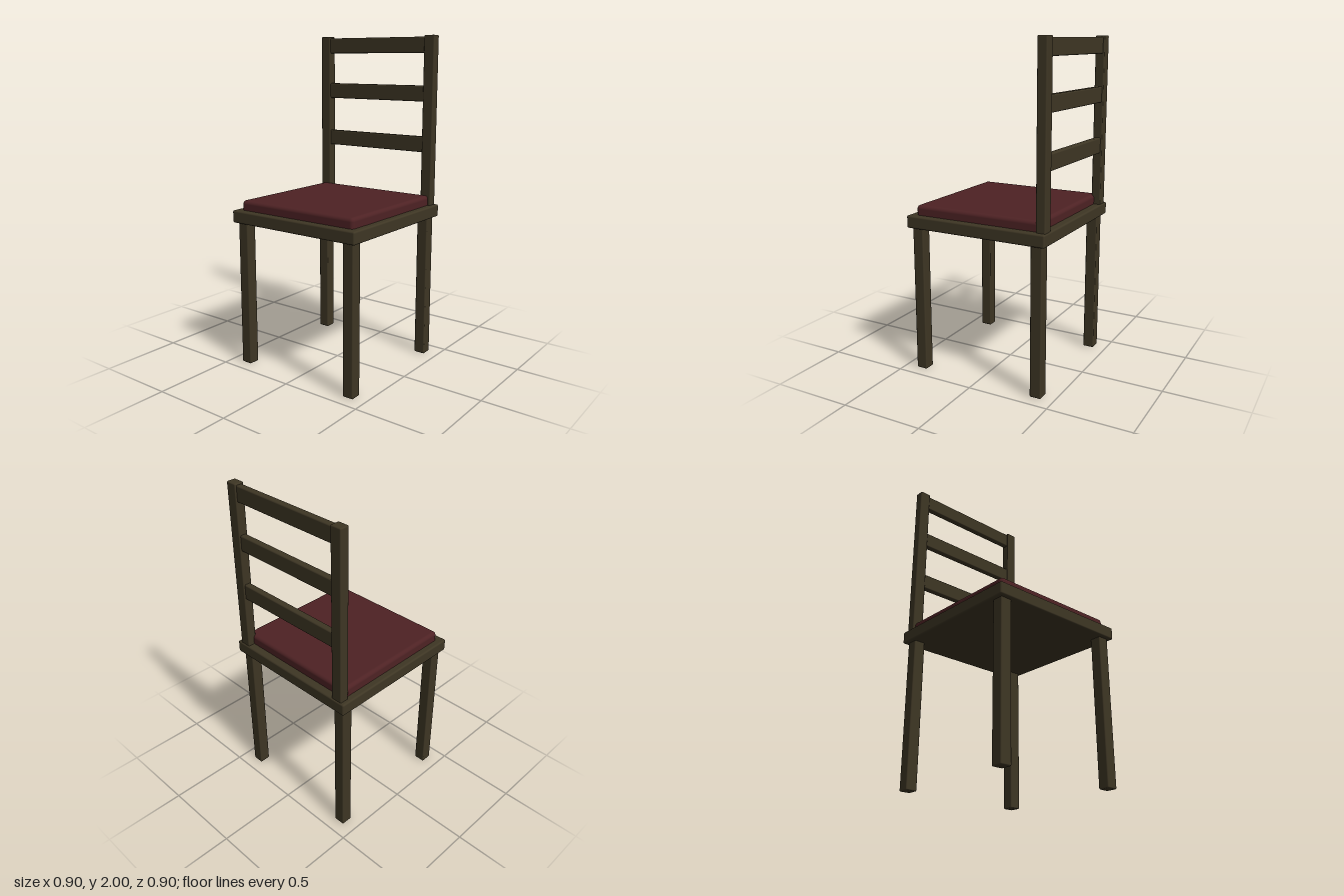
import * as THREE from 'three';
import { RoundedBoxGeometry } from 'three/addons/geometries/RoundedBoxGeometry.js';

export function createModel() {
  const chair = new THREE.Group();
  chair.name = 'chair';

  const wood = new THREE.MeshStandardMaterial({ color: 0x3e3624 });
  wood.name = 'dark wood';
  const fabric = new THREE.MeshStandardMaterial({ color: 0x4e2224 });
  fabric.name = 'dark red fabric';

  // Softly rounded block given by its size and centre
  function block(name, material, size, centre, radius) {
    const mesh = new THREE.Mesh(new RoundedBoxGeometry(...size, 3, radius), material);
    mesh.name = name;
    mesh.position.set(...centre);
    chair.add(mesh);
  }

  // Seat board and cushion
  block('seat', wood, [0.9, 0.075, 0.9], [0, 0.933, 0], 0.01);
  block('cushion', fabric, [0.82, 0.08, 0.81], [0, 0.99, 0.003], 0.022);

  for (const side of [1, -1]) {
    const label = side > 0 ? 'left' : 'right';
    // Front and back legs
    for (const end of [1, -1]) {
      const name = label + (end > 0 ? 'FrontLeg' : 'BackLeg');
      block(name, wood, [0.07, 0.9, 0.07], [side * 0.39, 0.45, end * 0.39], 0.007);
    }
    // Upright of the backrest
    block(label + 'BackPost', wood, [0.07, 1.04, 0.058], [side * 0.39, 1.48, -0.414], 0.007);
  }

  // Ladder slats between the uprights
  [1.343, 1.653, 1.943].forEach((y, i) => {
    block('backSlat' + (i + 1), wood, [0.74, 0.096, 0.04], [0, y, -0.414], 0.008);
  });

  return chair;
}
